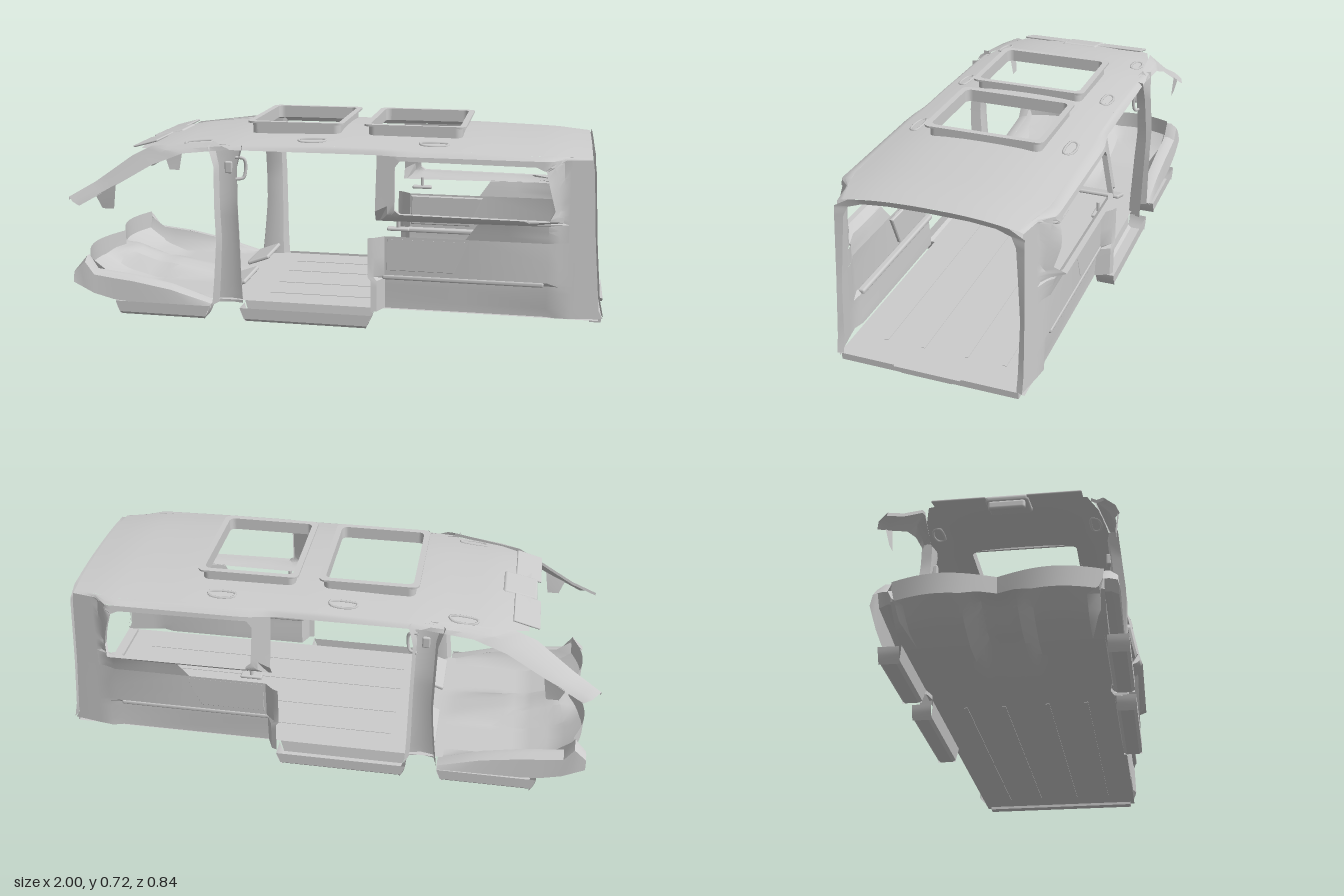
import * as THREE from 'three';
import { toCreasedNormals } from 'three/addons/utils/BufferGeometryUtils.js';
import { RoundedBoxGeometry } from 'three/addons/geometries/RoundedBoxGeometry.js';

const mat = new THREE.MeshStandardMaterial({ color: 0xcccccc, side: THREE.DoubleSide });
const V = (x, y, z) => new THREE.Vector3(x, y, z);
const lerp = THREE.MathUtils.lerp;
const lin = (a, b, n) => Array.from({ length: n + 1 }, (_, i) => lerp(a, b, i / n));
const polygon = pts => new THREE.Shape(pts.map(p => new THREE.Vector2(...p)));

// piecewise linear lookup in [[t, value], ...]
function at(pts, t) {
  if (t <= pts[0][0]) return pts[0][1];
  for (let i = 1; i < pts.length; i++) {
    const [a, p] = pts[i - 1], [b, q] = pts[i];
    if (t <= b) return lerp(p, q, (t - a) / (b - a));
  }
  return pts[pts.length - 1][1];
}

function add(group, name, geo, x = 0, y = 0, z = 0) {
  const m = new THREE.Mesh(geo, mat);
  m.name = name;
  m.position.set(x, y, z);
  group.add(m);
  return m;
}

// surface through stations us x vs; skip(u, v) leaves out cells
function sheet(group, name, us, vs, fn, skip = () => false) {
  const pos = [], idx = [], n = vs.length;
  us.forEach(u => vs.forEach(v => pos.push(...fn(u, v))));
  for (let i = 0; i < us.length - 1; i++) for (let j = 0; j < n - 1; j++) {
    if (skip((us[i] + us[i + 1]) / 2, (vs[j] + vs[j + 1]) / 2)) continue;
    const a = i * n + j;
    idx.push(a, a + 1, a + n, a + 1, a + n + 1, a + n);
  }
  const g = new THREE.BufferGeometry();
  g.setAttribute('position', new THREE.Float32BufferAttribute(pos, 3));
  g.setIndex(idx);
  return add(group, name, toCreasedNormals(g, 0.6));
}

function tube(group, name, pts, r, closed = false) {
  add(group, name, new THREE.TubeGeometry(new THREE.CatmullRomCurve3(pts, closed), 24, r, 6, closed));
}

function roundRect(S, x0, x1, y0, y1, r) {
  const s = new S();
  s.absarc(x1 - r, y1 - r, r, 0, Math.PI / 2);
  s.absarc(x0 + r, y1 - r, r, Math.PI / 2, Math.PI);
  s.absarc(x0 + r, y0 + r, r, Math.PI, Math.PI * 1.5);
  s.absarc(x1 - r, y0 + r, r, Math.PI * 1.5, Math.PI * 2);
  s.closePath();
  return s;
}

// body lines
const ridge = x => at([[-0.75, 0.635], [-0.6, 0.663], [-0.35, 0.686], [0, 0.695], [0.5, 0.692], [0.8, 0.683], [0.94, 0.668]], x);
const roofHalf = x => at([[-0.75, 0.27], [-0.6, 0.312], [-0.4, 0.335], [0.75, 0.345], [0.85, 0.325], [0.94, 0.29]], x);
const roofY = (x, z) => ridge(x) - 0.032 * Math.pow(Math.abs(z) / 0.34, 2.5);
const rearX = y => at([[0.07, 0.99], [0.1, 0.975], [0.35, 0.953], [0.6, 0.938], [0.67, 0.928]], y);
// side trim: set in below the window ledge, flared at the door jamb, drawn in at the tail
function wallZ(x, y) {
  const low = at([[0.07, 0.336], [0.16, 0.345], [0.185, 0.345], [0.2, 0.358], [0.345, 0.36], [0.405, 0.372]], y);
  const jamb = at([[0.155, 0.4], [0.175, 0.392], [0.21, 0.34]], x);
  const side = y < 0.41 ? (y < 0.35 ? Math.max(low, jamb) : low) : at([[0.41, 0.374], [0.425, 0.405], [0.44, 0.418], [0.46, 0.413], [0.64, 0.38]], y);
  const rear = at([[0.84, 0.352], [0.99, 0.325]], x) - 0.03 * (y - 0.07);
  return lerp(side, rear, at([[0.79, 0], [0.83, 1]], x)) - at([[0.17, 0.02], [0.27, 0]], x) * (y > 0.42 ? 1 : 0);
}
const sunroofs = [[-0.31, 0.01], [0.13, 0.46]];

function buildSide(g) {
  // roof rail above the openings
  sheet(g, 'roofRail', lin(-0.42, 0.93, 30), lin(0, 1, 3), (x, v) => {
    const h = roofHalf(x);
    return [x, lerp(roofY(x, h), 0.64, v * v), lerp(h, wallZ(x, 0.64), v)];
  });

  // windscreen pillar, running up into the roof rail
  const top = [[-1, 0.437], [-0.9, 0.495], [-0.76, 0.595], [-0.68, 0.635], [-0.42, 0.665]];
  const low = [[-0.94, 0.415], [-0.81, 0.488], [-0.66, 0.575], [-0.54, 0.622], [-0.36, 0.642]];
  sheet(g, 'windscreenPillar', lin(0, 4, 16), [-0.3, 0, 0.5, 1], (u, v) => {
    const i = Math.min(3, Math.floor(u)), f = u - i, t = Math.max(0, v);
    const p = k => lerp(lerp(top[i][k], top[i + 1][k], f), lerp(low[i][k], low[i + 1][k], f), t);
    const zTop = at([[0, 0.345], [2, 0.29], [3, 0.30], [4, 0.334]], u);
    const zLow = at([[0, 0.392], [2, 0.366], [4, 0.362]], u);
    return [p(0), p(1) - (v < 0 ? 0.012 : 0), lerp(zTop, zLow, t) + 0.012 * Math.sin(Math.PI * t)];
  });
  sheet(g, 'pillarFoot', [0, 1], lin(0, 1, 3), (u, v) => [lerp(lerp(-0.875, -0.795, u), lerp(-0.855, -0.81, u), v), lerp(lerp(0.455, 0.5, u), 0.405, v), 0.383 - 0.01 * v]);

  // door pillar with U section, deeper towards the floor
  const section = [[-0.325, 0], [-0.338, -0.035], [-0.375, -0.042], [-0.418, -0.035], [-0.43, 0]];
  sheet(g, 'doorPillar', lin(0.05, 0.655, 16), [0, 1, 2, 3, 4], (y, k) => {
    const flare = at([[0.05, 1.15], [0.15, 1], [0.3, 0.85], [0.58, 0.85], [0.655, 1.25]], y);
    const depth = at([[0.08, 1.4], [0.34, 1.2], [0.5, 1.05], [0.655, 1]], y);
    const lean = at([[0.05, 0], [0.3, 0.008], [0.655, 0]], y);
    return [-0.378 + (section[k][0] + 0.378) * flare + lean, y, at([[0.05, 0.375], [0.42, 0.385], [0.655, 0.364]], y) + section[k][1] * depth];
  });
  tube(g, 'pillarGrabHandle', [V(-0.345, 0.61, 0.34), V(-0.315, 0.605, 0.335), V(-0.31, 0.57, 0.33), V(-0.318, 0.535, 0.335), V(-0.345, 0.53, 0.345)], 0.006);
  add(g, 'beltAnchor', new RoundedBoxGeometry(0.03, 0.045, 0.02, 2, 0.006), -0.375, 0.57, 0.325);

  // quarter window frame with reveal
  const inner = [[0.25, 0.455], [0.246, 0.6], [0.265, 0.625], [0.74, 0.62], [0.775, 0.605], [0.81, 0.465], [0.79, 0.435], [0.27, 0.44]];
  const outer = [[0.18, 0.405], [0.18, 0.64], [0.25, 0.64], [0.76, 0.64], [0.86, 0.64], [0.86, 0.46], [0.86, 0.41], [0.25, 0.405]];
  sheet(g, 'quarterWindowFrame', lin(0, 8, 48), [-1, 0, 0.35, 0.7, 1], (u, v) => {
    const i = Math.floor(u) % 8, j = (i + 1) % 8, f = u - Math.floor(u), t = Math.max(0, v);
    const p = k => lerp(lerp(inner[i][k], inner[j][k], f), lerp(outer[i][k], outer[j][k], f), t);
    const x = p(0), y = p(1);
    return [x, y, wallZ(x, y) - (v < 0 ? 0.02 : 0)];
  });

  // lower trim with door jamb, upper trim and tail pillar
  sheet(g, 'lowerSidePanel', [0.155, 0.175, 0.21, 0.5, 0.79, 0.83, 0.88, 1], [0.07, 0.1, 0.16, 0.185, 0.2, 0.27, 0.345], (s, y) => {
    const x = s === 1 ? rearX(y) : s + (s < 0.2 && y < 0.19 ? 0.012 : 0);
    return [x, y, wallZ(s === 1 ? x : s, y)];
  });
  sheet(g, 'upperSidePanel', [0.5, 0.65, 0.79, 0.83, 0.86], lin(0.345, 0.41, 3), (s, y) => {
    const x = s === 0.5 ? 0.5 + (y - 0.345) * 0.7 : s;
    return [x, y, wallZ(x, y)];
  });
  sheet(g, 'tailPillar', lin(0, 1, 3), lin(0.345, 0.64, 8), (u, y) => {
    const x = lerp(0.86, rearX(y), u);
    return [x, y, wallZ(x, y)];
  });
  add(g, 'armrest', new RoundedBoxGeometry(0.58, 0.02, 0.028, 2, 0.008), 0.49, 0.192, 0.347);

  // pressed trim piece on the lower panel
  const insert = polygon([[0.22, 0.22], [0.46, 0.22], [0.51, 0.335], [0.22, 0.335]]);
  add(g, 'panelInsert', new THREE.ExtrudeGeometry(insert, { depth: 0.008, bevelSize: 0.004, bevelThickness: 0.004, bevelSegments: 1 }), 0, 0, 0.348);
  add(g, 'seatBeltGuide', new RoundedBoxGeometry(0.08, 0.012, 0.03, 2, 0.005), 0.26, 0.375, 0.36);
  add(g, 'seatBeltPost', new THREE.CylinderGeometry(0.007, 0.007, 0.045, 8), 0.26, 0.393, 0.36);

  // half of the tailgate surround
  const rim = [[0, 0.652], [0.14, 0.65], [0.23, 0.642], [0.28, 0.625], [0.297, 0.59], [0.305, 0.48], [0.315, 0.33], [0.312, 0.08]];
  sheet(g, 'tailgateSurround', lin(0, 7, 28), [0, 1], (u, v) => {
    const i = Math.min(6, Math.floor(u)), f = u - i;
    const z = lerp(rim[i][0], rim[i + 1][0], f), y = lerp(rim[i][1], rim[i + 1][1], f);
    const oz = u < 3 ? z * 1.03 : wallZ(rearX(y), y) + 0.008, oy = u < 3 ? roofY(0.93, z) + 0.003 : y;
    return [rearX(y) + 0.006 * (1 - v), lerp(oy, y, v), lerp(oz, z, v)];
  });

  // door steps: riser, tread, lip and end walls
  for (const [name, x0, x1, yTop] of [['frontDoorStep', -0.81, -0.44, 0.058], ['slidingDoorStep', -0.325, 0.17, 0.065]]) {
    const prof = [[0.325, yTop], [0.333, 0.012], [0.345, 0.003], [0.392, 0.003], [0.403, 0.014], [0.403, 0.055]];
    const inset = y => 0.025 * Math.pow(1 - y / 0.07, 2);
    sheet(g, name, [0, 0.5, 1], [0, 1, 2, 3, 4, 5], (u, k) => {
      const [z, y] = prof[k];
      return [lerp(x0 + inset(y), x1 - inset(y), u), y, z];
    });
    for (const [x, e] of [[x0, 1], [x1, -1]]) sheet(g, name + 'End', lin(0.003, 0.055, 4), [0.333, 0.403], (y, z) => [x + e * inset(y), y, z]);
  }

  // front wheel arch: crown, outer skirt and inner face
  const crown = [[-0.98, 0.16], [-0.935, 0.212], [-0.9, 0.158], [-0.75, 0.142], [-0.6, 0.113], [-0.44, 0.06]];
  const foot = [[-0.98, 0.115], [-0.9, 0.075], [-0.8, 0.05], [-0.44, 0.045]];
  sheet(g, 'wheelArch', [-0.98, -0.955, -0.935, -0.9, -0.82, -0.75, -0.67, -0.6, -0.52, -0.44], [0, 1, 2, 3], (x, k) => {
    const c = at(crown, x), f = at(foot, x);
    return [x, k === 0 ? f : k === 1 ? lerp(f, c, 0.85) : c, [0.388, 0.38, 0.355, 0.335][k]];
  });
  sheet(g, 'wheelArchInner', lin(-0.975, -0.46, 10), [0, 0.5, 1], (x, v) => [x, lerp(at(crown, x), Math.max(0.067, at(foot, x)), v), 0.335 - 0.05 * v * v]);

  // roof grab handles
  for (const x of [-0.5, -0.07, 0.375]) {
    const p = (dx, z) => V(x + dx, roofY(x + dx, z), z);
    tube(g, 'roofGrabHandle', [p(-0.05, 0.278), p(0.05, 0.278), p(0.045, 0.297), p(0.02, 0.306), p(-0.02, 0.306), p(-0.045, 0.297)], 0.005, true);
  }

  // sun visor lying under the lining, tilted foot plate
  add(g, 'sunVisor', new RoundedBoxGeometry(0.1, 0.008, 0.19, 2, 0.004), -0.72, 0.635, 0.165).rotation.z = 0.27;
  add(g, 'footPlate', new RoundedBoxGeometry(0.095, 0.016, 0.205, 2, 0.007), -0.38, 0.102, 0.175).rotation.z = 0.35;
}

export function createModel() {
  const model = new THREE.Group();
  model.name = 'vanInteriorShell';

  // roof lining with two openings
  const rx = [...lin(-0.73, -0.31, 7), ...lin(-0.2, 0.01, 2), 0.07, 0.13, 0.24, 0.35, ...lin(0.46, 0.93, 8)];
  const half = [0.07, 0.14, 0.2, 0.25, 0.3, 0.345];
  const rz = [...half.map(z => -z).reverse(), 0, ...half];
  const fit = (x, z) => Math.abs(z) <= 0.2 ? z : Math.sign(z) * lerp(0.2, roofHalf(x), (Math.abs(z) - 0.2) / 0.145);
  sheet(model, 'roofLining', rx, rz, (x, z) => [x, roofY(x, fit(x, z)), fit(x, z)],
    (x, z) => Math.abs(z) < 0.2 && sunroofs.some(([a, b]) => x > a && x < b));

  // raised sunroof frames: neck and lip
  for (const [a, b] of sunroofs) {
    for (const [name, o, y, h] of [['sunroofNeck', 0.008, 0.68, 0.042], ['sunroofLip', 0.022, 0.719, 0.007]]) {
      const s = roundRect(THREE.Shape, a - o, b + o, -0.2 - o, 0.2 + o, 0.025);
      s.holes.push(roundRect(THREE.Path, a, b, -0.2, 0.2, 0.022));
      add(model, name, new THREE.ExtrudeGeometry(s, { depth: h, bevelEnabled: false, curveSegments: 5 }), 0, y + h, 0).rotation.x = Math.PI / 2;
    }
  }

  // floor pan with tunnel and scalloped toe board
  const fu = [...lin(-1.1, -0.4, 18), 0, 0.5, 0.975];
  sheet(model, 'floorPan', fu, lin(-0.337, 0.337, 24), (u, z) => {
    const a = Math.abs(z), ramp = at([[-1.02, 1], [-0.75, 0]], u);
    const x = at([[-1.1, -0.97], [-1.02, -0.968], [-0.75, -0.75], [0.98, 0.98]], u) + ramp * 0.05 * (1 - Math.sin(Math.PI * a / 0.36));
    const tunnel = at([[0, 1], [0.06, 0.92], [0.11, 0]], a) * at([[-1.05, 0], [-0.92, 0.058], [-0.7, 0.05], [-0.45, 0]], u);
    return [x, at([[-1.1, 0.222], [-1.02, 0.15], [-0.9, 0.095], [-0.75, 0.065]], u) + tunnel, z];
  });
  for (const z of [-0.22, -0.08, 0.08, 0.22]) add(model, 'floorRib', new THREE.BoxGeometry(1.1, 0.004, 0.014), 0.3, 0.065, z);

  // tailgate sill and its step plate
  add(model, 'tailgateSill', new THREE.BoxGeometry(0.04, 0.024, 0.64), 0.965, 0.066, 0);
  const plate = polygon([[-0.12, 0.082], [0.12, 0.082], [0.09, 0.062], [-0.09, 0.062]]);
  add(model, 'sillPlate', new THREE.ExtrudeGeometry(plate, { depth: 0.05, bevelEnabled: false }), 0.947, 0, 0).rotation.y = Math.PI / 2;

  // overhead console and mirror
  add(model, 'overheadConsole', new RoundedBoxGeometry(0.13, 0.025, 0.15, 3, 0.011), -0.69, 0.637, 0).rotation.z = 0.22;
  add(model, 'mirrorStalk', new THREE.CylinderGeometry(0.008, 0.012, 0.035, 10), -0.74, 0.616, 0);
  add(model, 'rearViewMirror', new RoundedBoxGeometry(0.022, 0.033, 0.13, 3, 0.01), -0.745, 0.599, 0);

  // both sides
  for (const s of [1, -1]) {
    const g = new THREE.Group();
    g.name = s > 0 ? 'frontFacingSide' : 'rearFacingSide';
    buildSide(g);
    g.scale.z = s;
    model.add(g);
  }
  return model;
}
